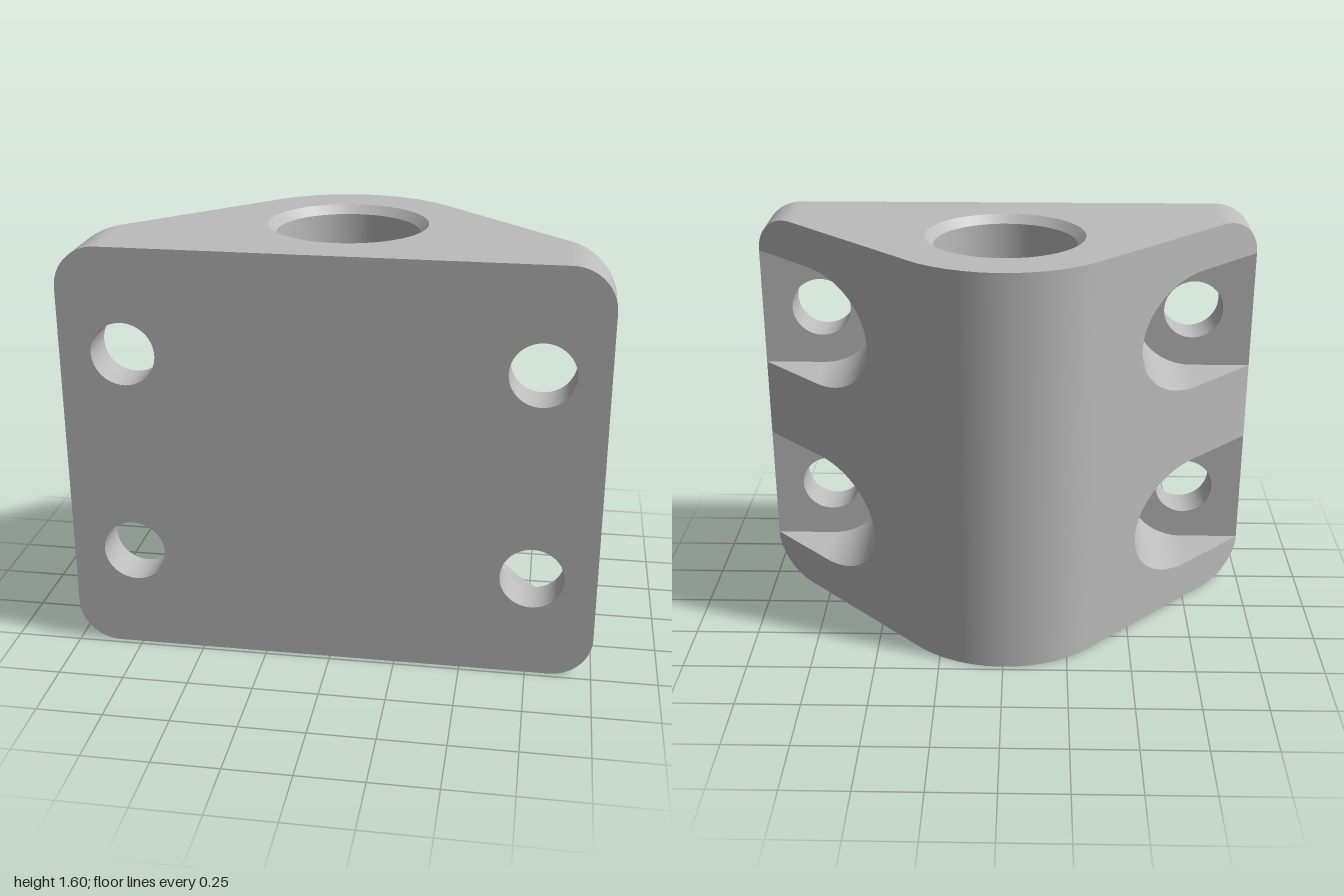
import * as THREE from 'three';
import { toCreasedNormals } from 'three/addons/utils/BufferGeometryUtils.js';

const H = 1.6, FRONT = 0.48, NOSE = 0.48, CORNER = 0.16;
const OFFSET = NOSE * Math.SQRT2;        // slope plane: z = |x| - OFFSET
const TANGENT = NOSE * Math.SQRT1_2;     // where the slope meets the round nose
const FLOOR = 1 - OFFSET;                // pocket floor
const BOLT_X = 0.76, BOLT_R = 0.12, POCKET_R = 0.24, BOLT_Y = [0.4, 1.2];
const BORE_R = 0.272, CHAMFER = 0.032;

const slope = (x) => Math.abs(x) - OFFSET;

function arc(cx, cy, r, from, to, n) {
  return Array.from({ length: n + 1 }, (_, i) => {
    const a = from + ((to - from) * i) / n;
    return new THREE.Vector2(cx + r * Math.cos(a), cy + r * Math.sin(a));
  });
}
const circle = (cx, cy, r, n) => arc(cx, cy, r, 0, Math.PI * 2, n).slice(0, n);
const mirrorPoints = (pts) => pts.map((p) => new THREE.Vector2(-p.x, p.y)).reverse();

function flip(geo) {
  geo.index.array.reverse();
  return geo;
}

// Flat face from an outline with holes, lifted to z = height(x)
function face(points, holes, height, facingBack) {
  const shape = new THREE.Shape(points);
  shape.holes = holes.map((h) => new THREE.Path(h));
  const geo = new THREE.ShapeGeometry(shape);
  const pos = geo.attributes.position;
  for (let i = 0; i < pos.count; i++) pos.setZ(i, height(pos.getX(i)));
  if (facingBack) flip(geo);
  geo.computeVertexNormals();
  return geo;
}

// Wall along a path, facing right of the travel direction
function wall(points, back, front) {
  const pos = [], index = [];
  points.forEach((p, i) => {
    pos.push(p.x, p.y, back(p.x), p.x, p.y, front);
    const a = i * 2;
    if (i < points.length - 1) index.push(a, a + 2, a + 3, a, a + 3, a + 1);
  });
  const geo = new THREE.BufferGeometry();
  geo.setAttribute('position', new THREE.Float32BufferAttribute(pos, 3));
  geo.setIndex(index);
  geo.computeVertexNormals();
  return geo;
}

export function createModel() {
  const group = new THREE.Group();
  const grey = new THREE.MeshStandardMaterial({ color: 0xbcbcbc });
  grey.name = 'grey';
  const add = (name, geo) => {
    const mesh = new THREE.Mesh(geo, grey);
    mesh.name = name;
    group.add(mesh);
  };
  const addPair = (name, geo) => {
    add('left' + name, geo);
    add('right' + name, flip(geo.clone().scale(-1, 1, 1)));
  };

  // Shared outlines for the left half
  const v = (x, y) => new THREE.Vector2(x, y);
  const lowCorner = arc(1 - CORNER, CORNER, CORNER, -Math.PI / 2, 0, 20);
  const highCorner = arc(1 - CORNER, H - CORNER, CORNER, 0, Math.PI / 2, 20);
  const pockets = BOLT_Y.map((y) => [
    v(1, y - POCKET_R),
    ...arc(BOLT_X, y, POCKET_R, Math.PI * 1.5, Math.PI / 2, 40),
    v(1, y + POCKET_R),
  ]);
  const bolts = BOLT_Y.map((y) => circle(BOLT_X, y, BOLT_R, 48));
  const rim = [
    ...lowCorner,
    v(1, BOLT_Y[0] + POCKET_R), v(1, BOLT_Y[1] - POCKET_R),
    ...highCorner,
  ];

  // Mounting face with four bolt holes
  add('mountingFace', face([...rim, ...mirrorPoints(rim)],
    [...bolts, ...bolts.map(mirrorPoints)], () => FRONT, false));

  // Rounded outer edges and sloped back faces
  addPair('OuterEdge', wall(rim, slope, FRONT));
  const wing = [v(TANGENT, 0), ...lowCorner, ...pockets[0].slice(1),
    ...pockets[1], ...highCorner.slice(1), v(TANGENT, H)];
  addPair('SlopedBack', face(wing, [], slope, true));

  // Bolt pockets and holes
  BOLT_Y.forEach((y, i) => {
    const place = i ? 'Upper' : 'Lower';
    addPair(place + 'PocketWall', wall(pockets[i], slope, FLOOR));
    addPair(place + 'PocketFloor', face(pockets[i], [bolts[i]], () => FLOOR, true));
    const loop = arc(BOLT_X, y, BOLT_R, Math.PI * 2, 0, 48);
    addPair(place + 'BoltHole', wall(loop, () => FLOOR, FRONT));
  });

  // Round nose at the back
  const nose = new THREE.CylinderGeometry(NOSE, NOSE, H, 48, 1, true, Math.PI * 0.75, Math.PI / 2);
  add('roundNose', nose.translate(0, H / 2, 0));

  // Top and bottom faces around the bore
  const x = 1 - CORNER;
  const plan = [v(-x, -FRONT), v(x, -FRONT), v(x, -slope(x)),
    ...arc(0, 0, NOSE, Math.PI / 4, Math.PI * 0.75, 48), v(-x, -slope(x))];
  const endFace = () => face(plan, [circle(0, 0, BORE_R + CHAMFER, 72)], () => 0, false)
    .rotateX(-Math.PI / 2);
  add('topFace', endFace().translate(0, H, 0));
  const bottom = flip(endFace());
  bottom.computeVertexNormals();
  add('bottomFace', bottom);

  // Bore chamfered at both ends
  const bore = new THREE.LatheGeometry([
    v(BORE_R + CHAMFER, H), v(BORE_R, H - CHAMFER),
    v(BORE_R, CHAMFER), v(BORE_R + CHAMFER, 0),
  ], 72);
  add('bore', toCreasedNormals(bore, 0.5));

  return group;
}
